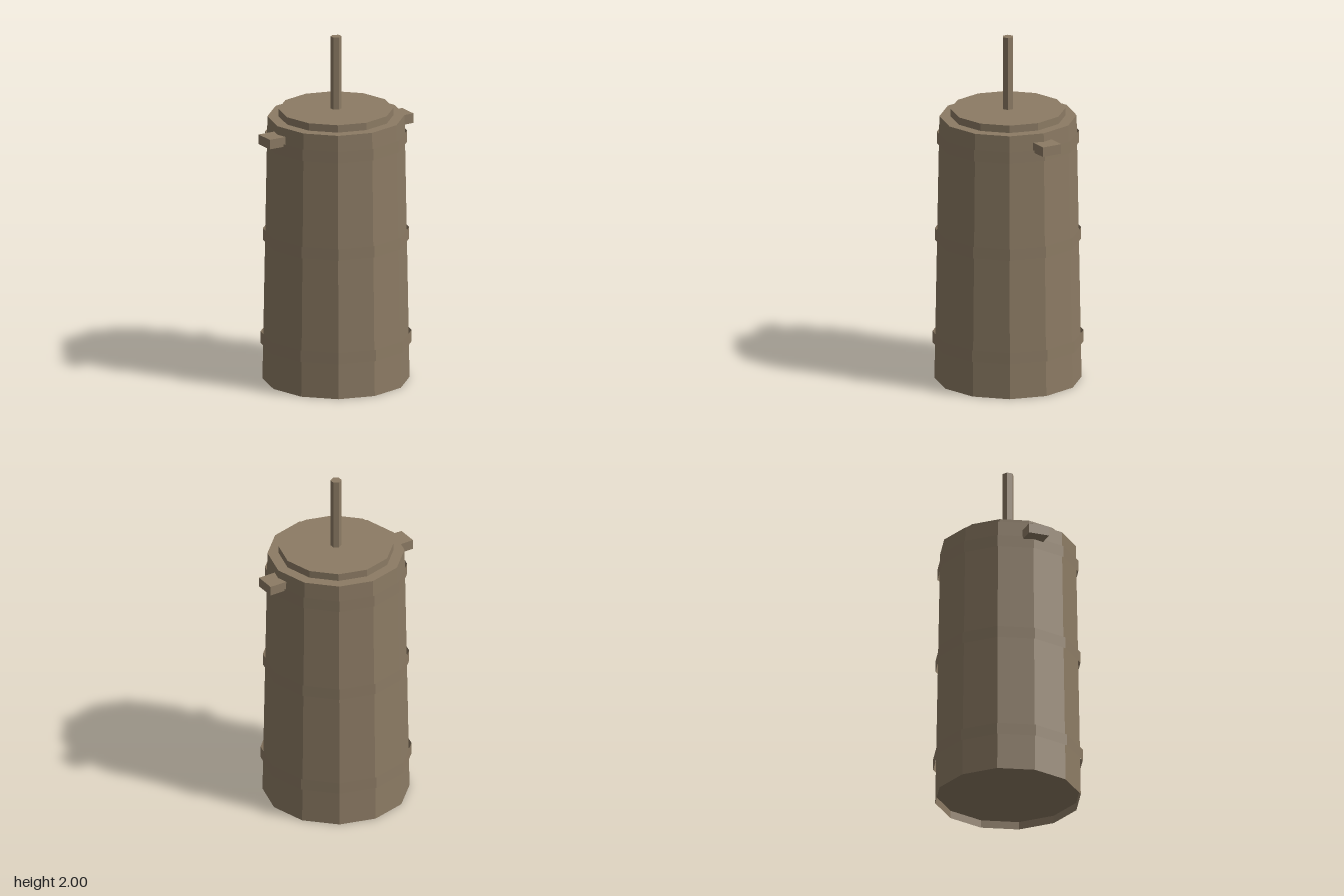
import * as THREE from 'three';

export function createModel() {
  const group = new THREE.Group();
  const options = { color: 0x8c7b64, flatShading: true, side: THREE.DoubleSide };
  const wood = new THREE.MeshStandardMaterial(options);
  wood.name = 'weathered wood';

  const add = (name, geometry, x, y, z) => {
    const mesh = new THREE.Mesh(geometry, wood);
    mesh.name = name;
    mesh.position.set(x, y, z);
    group.add(mesh);
    return mesh;
  };
  // Faceted ring or cylinder standing between two heights
  const tube = (name, rTop, rBottom, y0, y1, sides, open) =>
    add(name, new THREE.CylinderGeometry(rTop, rBottom, y1 - y0, sides, 1, open), 0, (y0 + y1) / 2, 0);
  const disc = (name, radius, y, tilt) =>
    add(name, new THREE.CircleGeometry(radius, 12), 0, y, 0).rotation.x = tilt;

  // Tapered barrel with a closed top and a slightly recessed floor
  tube('barrel', 0.384, 0.412, 0, 1.535, 12, true);
  disc('barrelTop', 0.384, 1.535, -Math.PI / 2);
  disc('barrelFloor', 0.411, 0.045, Math.PI / 2);

  // Thin hoops around the barrel
  [
    ['lowerHoop', 0.423, 0.207, 0.274],
    ['middleHoop', 0.41, 0.811, 0.878],
    ['upperHoop', 0.398, 1.377, 1.445],
  ].forEach(([name, r, y0, y1]) => tube(name, r, r, y0, y1, 12, true));

  // Lid and plunger rod
  tube('lid', 0.322, 0.322, 1.535, 1.578, 12, false);
  tube('plungerRod', 0.032, 0.032, 1.55, 2, 6, false);

  // Side handles
  for (const side of [1, -1]) {
    add(side > 0 ? 'leftHandle' : 'rightHandle',
      new THREE.BoxGeometry(0.125, 0.056, 0.12), side * 0.411, 1.458, 0);
  }
  return group;
}
